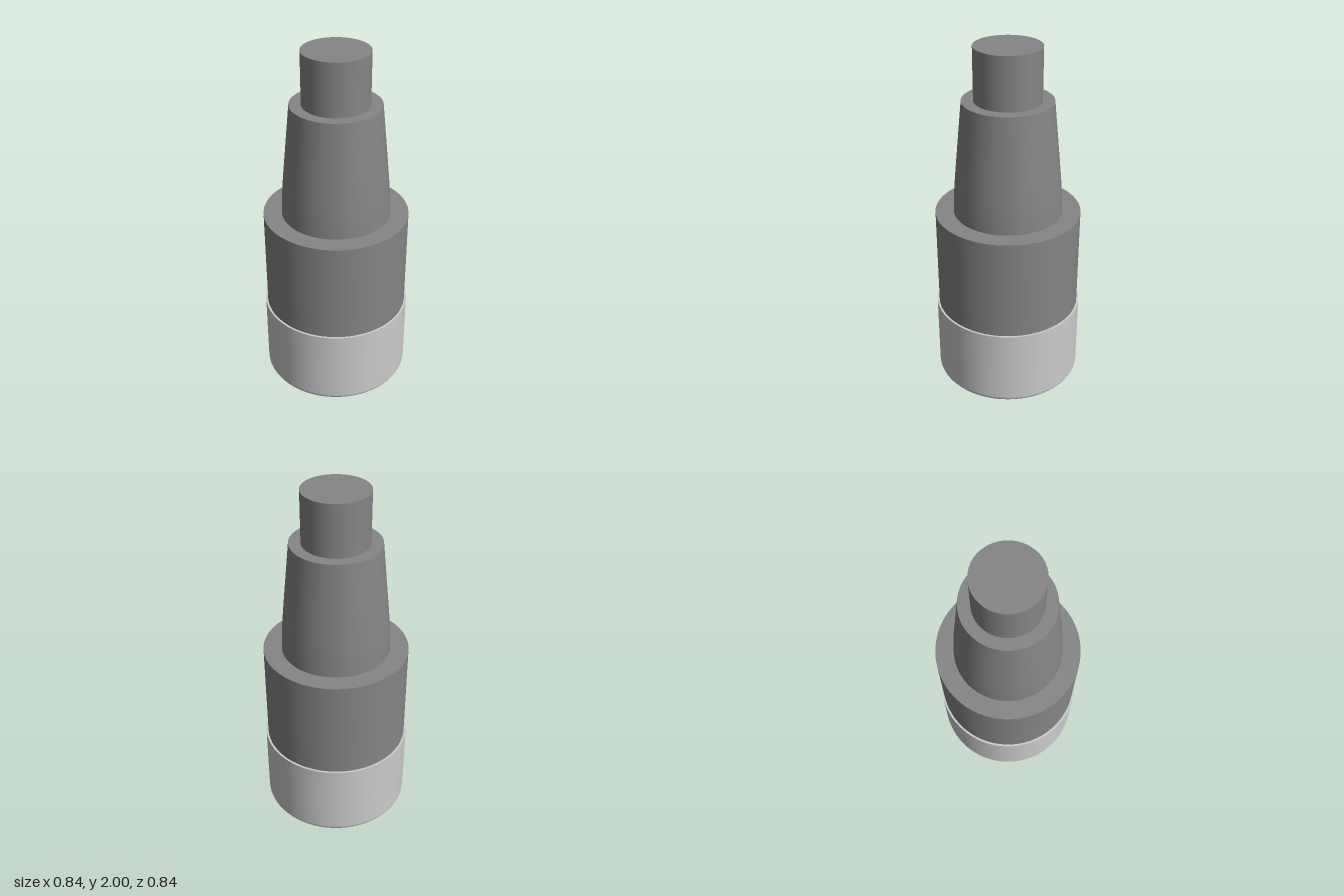
import * as THREE from 'three';
import { mergeGeometries } from 'three/addons/utils/BufferGeometryUtils.js';

const SEGMENTS = 96;

// Each run is a smooth stretch of profile [radius, y]; edges between runs stay sharp.
function turned(name, material, runs) {
  const parts = runs.map((run) =>
    new THREE.LatheGeometry(run.map(([r, y]) => new THREE.Vector2(r, y)), SEGMENTS));
  const mesh = new THREE.Mesh(mergeGeometries(parts), material);
  mesh.name = name;
  return mesh;
}

export function createModel() {
  const group = new THREE.Group();
  group.name = 'steppedCylinder';
  const light = new THREE.MeshStandardMaterial({ color: 0xcccccc });
  const dark = new THREE.MeshStandardMaterial({ color: 0x858585 });

  // Base cap with a rounded lower edge
  const R = 0.422, fillet = 0.03;
  const edge = [];
  for (let i = 0; i <= 8; i++) {
    const a = (i / 8) * Math.PI / 2;
    edge.push([R - fillet + fillet * Math.sin(a), fillet - fillet * Math.cos(a)]);
  }
  group.add(turned('baseCap', light, [
    [[0, 0], [R - fillet, 0]],
    edge,
    [[R, fillet], [R, 0.465]],
    [[R, 0.465], [0, 0.465]],
  ]));

  // Straight barrel
  group.add(turned('barrel', dark, [
    [[0.41, 0.465], [0.41, 1.053]],
    [[0.41, 1.053], [0, 1.053]],
  ]));

  // Tapered neck, nearly straight at its foot
  group.add(turned('taperedNeck', dark, [
    [[0.306, 1.053], [0.304, 1.12], [0.299, 1.2], [0.292, 1.28], [0.25, 1.705]],
    [[0.25, 1.705], [0, 1.705]],
  ]));

  // Top spigot
  group.add(turned('topSpigot', dark, [
    [[0.185, 1.705], [0.185, 2]],
    [[0.185, 2], [0, 2]],
  ]));

  return group;
}
